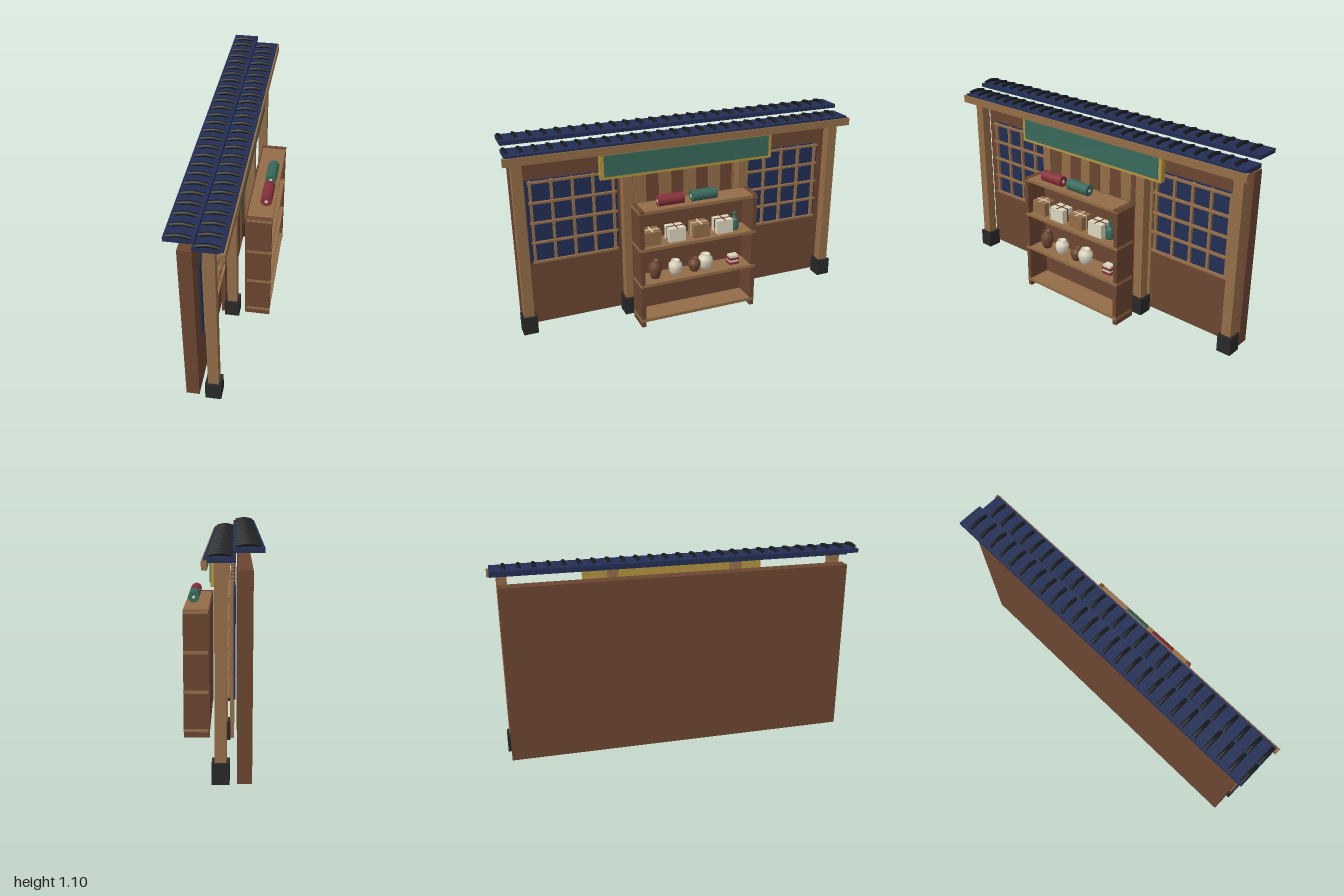
import * as THREE from 'three';

const mat = (name, color) => {
  const m = new THREE.MeshStandardMaterial({ color });
  m.name = name;
  return m;
};

export function createModel() {
  const root = new THREE.Group();
  root.name = 'shopFront';
  const darkWood = mat('darkWood', 0x6b4530), wood = mat('wood', 0x946d48);
  const navy = mat('navy', 0x222e54), tileBlack = mat('tileBlack', 0x191a1c);
  const stone = mat('stone', 0x282828), teal = mat('teal', 0x38695c);
  const gold = mat('gold', 0xb2943f), red = mat('red', 0x86303a);
  const cream = mat('cream', 0xdcd5bf);

  const add = (name, geo, material, x = 0, y = 0, z = 0, parent = root) => {
    const m = new THREE.Mesh(geo, material);
    m.name = name;
    m.position.set(x, y, z);
    parent.add(m);
    return m;
  };
  // Box given by its limits on each axis
  const box = (name, material, [x0, x1], [y0, y1], [z0, z1], parent = root) =>
    add(name, new THREE.BoxGeometry(x1 - x0, y1 - y0, z1 - z0), material,
      (x0 + x1) / 2, (y0 + y1) / 2, (z0 + z1) / 2, parent);
  const group = (name) => {
    const g = new THREE.Group();
    g.name = name;
    root.add(g);
    return g;
  };

  // Back wall
  box('backWall', darkWood, [-0.152, -0.084], [0, 0.977], [-0.95, 0.95]);

  // Posts on stone feet, and the long front beam
  for (const z of [-0.927, -0.345, 0.345, 0.927]) {
    box('post', wood, [-0.036, 0.019], [0, 1.01], [z - 0.0275, z + 0.0275]);
    box('postFoot', stone, [-0.05, 0.032], [0.002, 0.102], [z - 0.04, z + 0.04]);
  }
  box('frontBeam', wood, [0.049, 0.074], [0.983, 1.025], [-1, 1]);

  // Two roof strips with arched ridge tiles
  const arch = new THREE.CatmullRomCurve3([
    new THREE.Vector3(-0.055, 0.002, 0), new THREE.Vector3(-0.028, 0.008, 0),
    new THREE.Vector3(0, 0.012, 0),
    new THREE.Vector3(0.028, 0.008, 0), new THREE.Vector3(0.055, 0.002, 0),
  ]);
  const tileGeo = new THREE.TubeGeometry(arch, 8, 0.01, 8);
  for (const [cx, top] of [[-0.005, 1.036], [-0.13, 1.077]]) {
    const roof = group('roofStrip');
    box('roofSlab', navy, [cx - 0.07, cx + 0.07], [top - 0.021, top], [-0.985, 0.985], roof);
    for (let i = 0; i < 26; i++) add('ridgeTile', tileGeo, tileBlack, cx, top, 0.973 - i * 0.0755, roof);
  }

  // Sign board
  box('signFrame', gold, [0.019, 0.05], [0.84, 0.99], [-0.503, 0.503]);
  box('signPanel', teal, [0.05, 0.055], [0.857, 0.973], [-0.482, 0.482]);

  // Vertical slats behind the shelf
  for (let i = 0; i < 10; i++) {
    const z = 0.33 - i * 0.075;
    box('slat', i % 2 ? wood : darkWood, [-0.07, -0.047], [0.012, 0.85], [z - 0.036, z + 0.036]);
  }

  // Lattice windows on both sides
  for (const c of [-0.63, 0.63]) {
    const win = group('latticeWindow');
    box('windowPane', navy, [-0.075, -0.065], [0.38, 0.85], [c - 0.25, c + 0.25], win);
    for (let i = -2; i <= 2; i++) {
      const z = c + i * 0.113, y = 0.617 + i * 0.1135;
      box('uprightBar', wood, [-0.062, -0.046], [0.38, 0.85], [z - 0.007, z + 0.007], win);
      box('crossBar', wood, [-0.052, -0.037], [y - 0.006, y + 0.006], [c - 0.24, c + 0.24], win);
    }
  }

  // Display shelf
  const shelf = group('displayShelf');
  for (const s of [-1, 1]) {
    const z = s * 0.3325;
    box('shelfSide', darkWood, [0.06, 0.2], [0, 0.692], [z - 0.0125, z + 0.0125], shelf);
  }
  box('shelfBack', darkWood, [0.06, 0.068], [0.03, 0.69], [-0.32, 0.32], shelf);
  for (const y of [0.03, 0.244, 0.458, 0.673]) {
    // boards pass through the sides with flush-looking ends
    box('shelfBoard', wood, [0.068, 0.2005], [y, y + 0.018], [-0.346, 0.346], shelf);
  }
  for (const s of [-1, 1]) {
    const z = s * 0.3325;
    box('sideCap', darkWood, [0.06, 0.201], [0.68, 0.693], [z - 0.0125, z + 0.0125], shelf);
  }

  // Cloth rolls on top
  for (const [z, m] of [[0.155, red], [-0.038, teal]]) {
    add('clothRoll', new THREE.CylinderGeometry(0.031, 0.031, 0.145, 16), m, 0.155, 0.724, z).rotation.x = Math.PI / 2;
    add('rollCore', new THREE.CylinderGeometry(0.009, 0.009, 0.151, 8), cream, 0.155, 0.724, z).rotation.x = Math.PI / 2;
  }

  // Tied parcels
  for (let i = 0; i < 4; i++) {
    const z = 0.263 - i * 0.1425, pale = i % 2;
    const y0 = 0.476, x = 0.135, tie = pale ? darkWood : cream;
    box('parcel', pale ? cream : wood, [x - 0.04, x + 0.04], [y0, y0 + 0.078], [z - 0.048, z + 0.048]);
    box('parcelTie', tie, [x - 0.041, x + 0.038], [y0, y0 + 0.08], [z - 0.004, z + 0.004]);
    box('parcelTie', tie, [x - 0.004, x + 0.004], [y0, y0 + 0.08], [z - 0.049, z + 0.049]);
  }

  // Turned vessels: profile of [radius, height]
  const vessel = (name, m, z, y, r, h, profile) =>
    add(name, new THREE.LatheGeometry(profile.map(([a, b]) => new THREE.Vector2(a * r, b * h)), 16), m, 0.135, y, z);
  const jar = [[0, 0], [0.6, 0], [0.85, 0.25], [1, 0.55], [0.9, 0.78], [0.6, 0.9], [0.65, 1], [0.5, 1], [0.45, 0.9], [0, 0.88]];
  const bottle = [[0, 0], [0.9, 0], [1, 0.08], [1, 0.5], [0.8, 0.62], [0.35, 0.72], [0.35, 0.94], [0.45, 1], [0, 1]];
  vessel('bottle', teal, -0.24, 0.476, 0.024, 0.104, bottle);
  for (const [m, z, r, h] of [[darkWood, 0.24, 0.038, 0.105], [cream, 0.12, 0.04, 0.085],
    [darkWood, 0.005, 0.037, 0.075], [cream, -0.063, 0.043, 0.09]]) {
    vessel('jar', m, z, 0.262, r, h, jar);
  }

  // Small stack of books
  for (let i = 0; i < 4; i++) {
    const y = 0.262 + i * 0.0135, w = 0.029 - (i % 2) * 0.003;
    box('book', i % 2 ? cream : red, [0.135 - w * 0.8, 0.135 + w * 0.8], [y, y + 0.0135], [-0.235 - w, -0.235 + w]);
  }
  return root;
}
